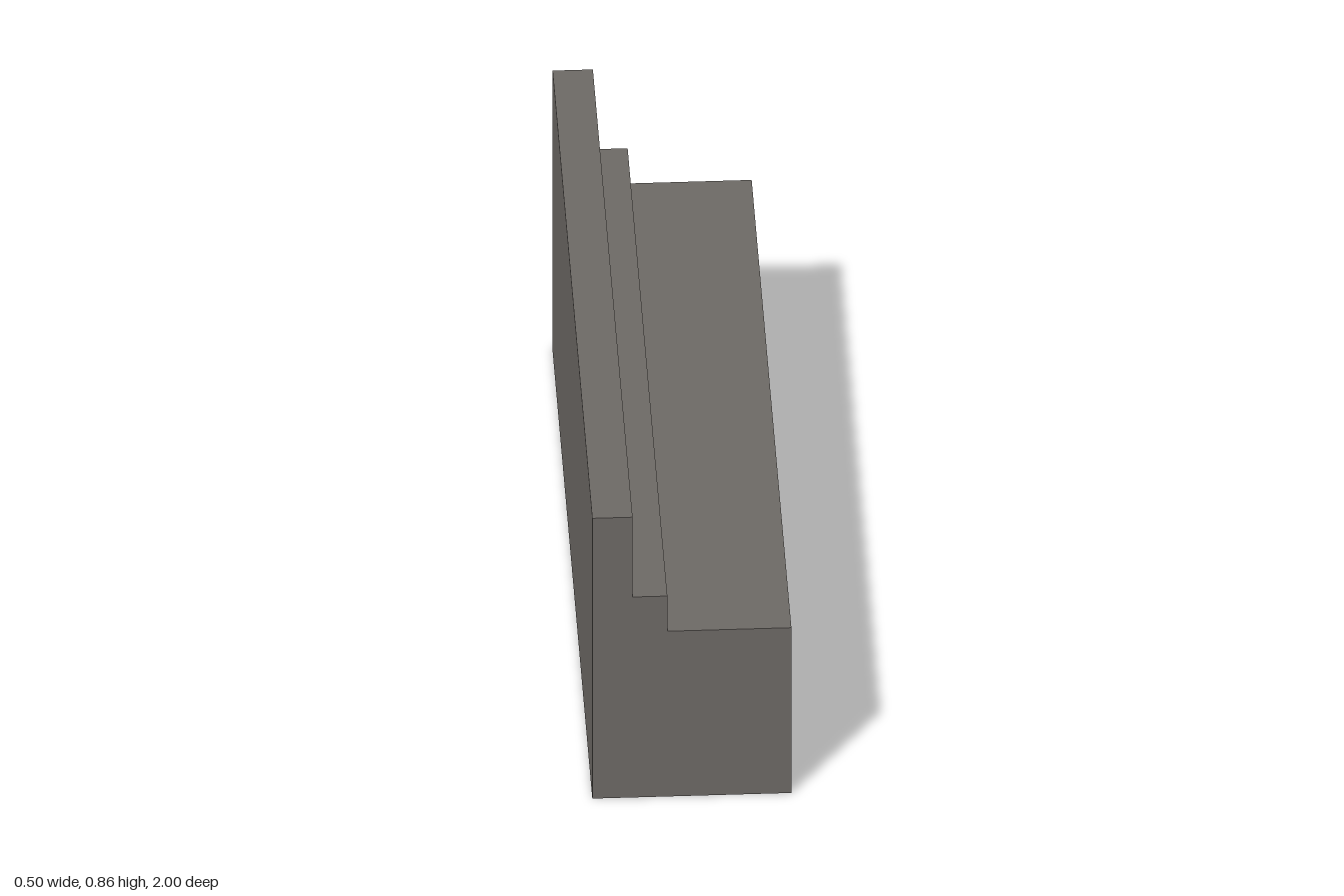
import * as THREE from 'three';

export function createModel() {
  const group = new THREE.Group();
  group.name = 'steppedWall';

  const stone = new THREE.MeshStandardMaterial({ color: 0x6e6a66 });
  stone.name = 'warm grey stone';

  // Cross-section: tall parapet, narrow step, broad ledge
  const profile = new THREE.Shape([
    [-0.252, 0], [0.252, 0], [0.252, 0.507], [-0.062, 0.507],
    [-0.062, 0.615], [-0.15, 0.615], [-0.15, 0.86], [-0.252, 0.86],
  ].map(([x, y]) => new THREE.Vector2(x, y)));

  // Wall: the section run along z
  const length = 2;
  const geometry = new THREE.ExtrudeGeometry(profile, { depth: length, bevelEnabled: false });
  geometry.translate(0, 0, -length / 2);

  const wall = new THREE.Mesh(geometry, stone);
  wall.name = 'wall';
  group.add(wall);
  return group;
}
